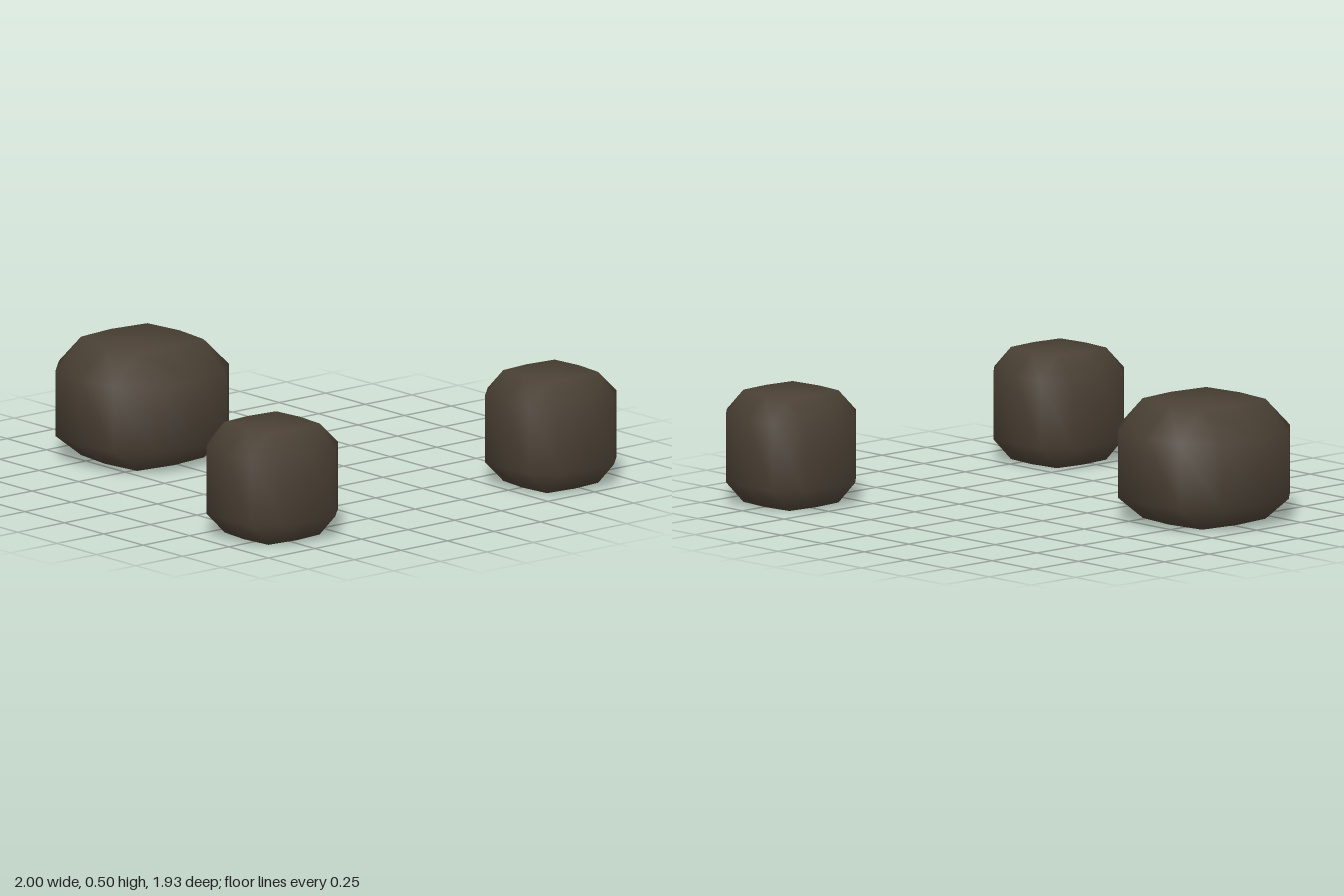
import * as THREE from 'three';
import { mergeVertices } from 'three/addons/utils/BufferGeometryUtils.js';

const stone = new THREE.MeshStandardMaterial({ color: 0x4a4034 });
stone.name = 'dark stone';

// One horizontal ring: per side a corner point, a bulging middle and a corner point
function ring(y, mid, out, along) {
  const points = [];
  for (let side = 0; side < 4; side++) {
    for (const [r, t] of [[out, -along], [mid, 0], [out, along]]) {
      const a = side * Math.PI / 2, c = Math.round(Math.cos(a)), s = Math.round(Math.sin(a));
      points.push([c * r - s * t, y, s * r + c * t]);
    }
  }
  return points;
}

// Rounded block: four rings, closed by a flat cap above and below
function rockGeometry({ height, low, high, mid, out, along, capMid, capCorner }) {
  const rings = [
    ring(0, 0, 0, 0),
    ring(0, capMid, capCorner, capCorner),
    ring(low, mid, out, along),
    ring(high, mid, out, along),
    ring(height, capMid, capCorner, capCorner),
    ring(height, 0, 0, 0),
  ];
  const positions = [];
  const same = (p, q) => p.every((v, i) => Math.abs(v - q[i]) < 1e-6);
  const triangle = (a, b, c) => {
    if (!same(a, b) && !same(b, c) && !same(a, c)) positions.push(...a, ...b, ...c);
  };
  for (let i = 0; i < rings.length - 1; i++) {
    for (let j = 0; j < 12; j++) {
      const k = (j + 1) % 12;
      const a = rings[i][j], b = rings[i][k], c = rings[i + 1][k], d = rings[i + 1][j];
      triangle(a, d, c);
      triangle(a, c, b);
    }
  }
  const geometry = new THREE.BufferGeometry();
  geometry.setAttribute('position', new THREE.Float32BufferAttribute(positions, 3));
  const smooth = mergeVertices(geometry, 1e-4);
  smooth.computeVertexNormals();
  return smooth;
}

export function createModel() {
  const group = new THREE.Group();
  group.name = 'rocks';

  const large = rockGeometry({
    height: 0.5, low: 0.1, high: 0.375, mid: 0.338, out: 0.31, along: 0.185, capMid: 0.2, capCorner: 0.178,
  });
  const small = rockGeometry({
    height: 0.468, low: 0.095, high: 0.375, mid: 0.246, out: 0.235, along: 0.14, capMid: 0.152, capCorner: 0.138,
  });

  const rocks = [
    ['largeRock', large, -0.662, 0.271],
    ['smallRockFront', small, 0.69, 0.717],
    ['smallRockBack', small, 0.753, -0.725],
  ];
  for (const [name, geometry, x, z] of rocks) {
    const rock = new THREE.Mesh(geometry, stone);
    rock.name = name;
    rock.position.set(x, 0, z);
    group.add(rock);
  }
  return group;
}
